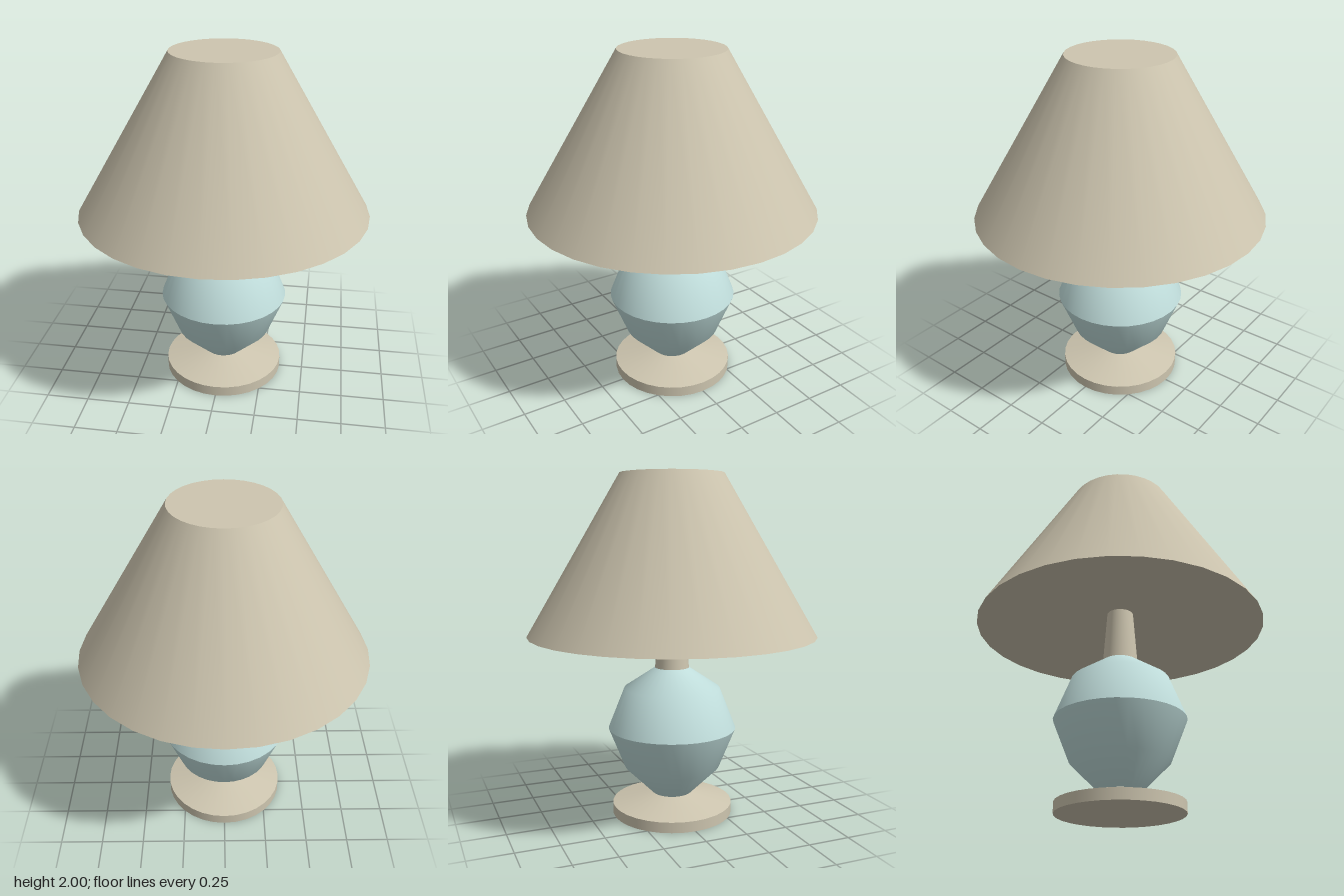
import * as THREE from 'three';

export function createModel() {
  const lamp = new THREE.Group();
  lamp.name = 'tableLamp';

  const linen = new THREE.MeshStandardMaterial({ color: 0xcdc5af });
  linen.name = 'linen';
  const glaze = new THREE.MeshStandardMaterial({ color: 0xbfdcda });
  glaze.name = 'paleBlueGlaze';

  // Each profile is a list of [radius, height]; separate profiles keep the rims sharp.
  function turned(name, material, profiles) {
    const part = new THREE.Group();
    part.name = name;
    for (const [surface, points] of Object.entries(profiles)) {
      const profile = points.map(([r, y]) => new THREE.Vector2(r, y));
      const mesh = new THREE.Mesh(new THREE.LatheGeometry(profile, 32), material);
      mesh.name = name + surface;
      part.add(mesh);
    }
    lamp.add(part);
  }

  // Foot: flat disc with a sloping top
  turned('base', linen, {
    Underside: [[0, 0], [0.357, 0]],
    Rim: [[0.357, 0], [0.357, 0.062]],
    Slope: [[0.357, 0.062], [0.118, 0.122]],
  });

  // Ceramic body, creased at its widest ring
  turned('body', glaze, {
    Lower: [[0.118, 0.122], [0.282, 0.285], [0.377, 0.522]],
    Upper: [[0.377, 0.522], [0.282, 0.762], [0.1, 0.883]],
  });

  // Tapered neck reaching up into the shade
  turned('neck', linen, {
    Side: [[0.1, 0.883], [0.076, 1.2]],
  });

  // Shade with a flat top and a shallow recessed underside
  turned('shade', linen, {
    Underside: [[0, 1.2], [0.076, 1.19], [0.838, 1.083]],
    Side: [[0.838, 1.083], [0.299, 2]],
    Top: [[0.299, 2], [0, 2]],
  });

  return lamp;
}
